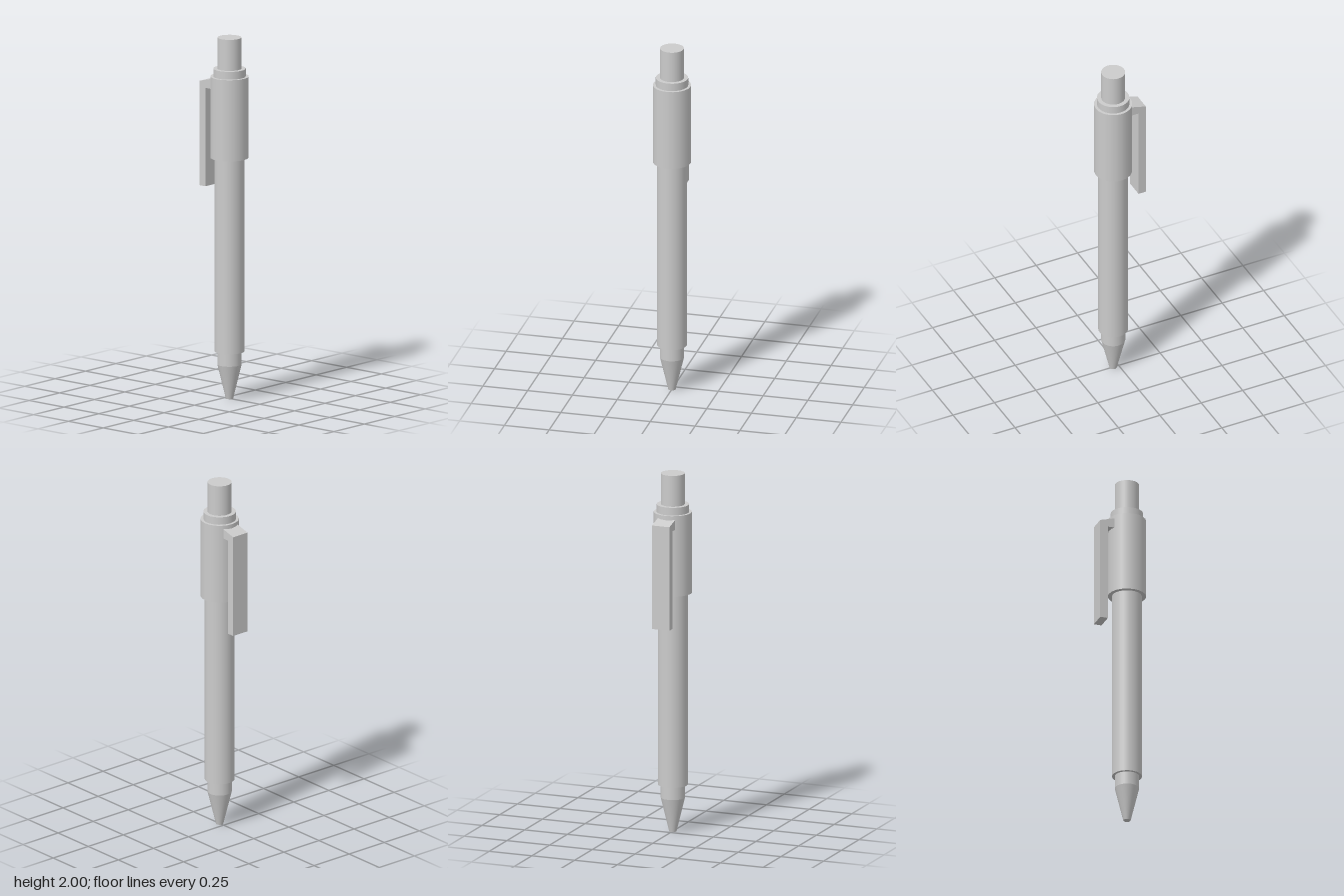
import * as THREE from 'three';

const AXIS_Z = 0.033; // the pen body sits forward of centre to balance the clip

export function createModel() {
  const group = new THREE.Group();
  const material = new THREE.MeshStandardMaterial({ color: 0xcccccc });

  // Coaxial round section between two heights
  const section = (name, y0, y1, r0, r1 = r0, sides = 32) => {
    const mesh = new THREE.Mesh(new THREE.CylinderGeometry(r1, r0, y1 - y0, sides), material);
    mesh.name = name;
    mesh.position.set(0, (y0 + y1) / 2, AXIS_Z);
    group.add(mesh);
  };

  section('tipCone', 0, 0.19, 0.02, 0.066);
  section('tipCollar', 0.19, 0.262, 0.066);
  section('barrel', 0.262, 1.335, 0.081);
  section('gripSleeve', 1.335, 1.785, 0.104, 0.104, 20);
  section('topRing', 1.785, 1.828, 0.088);
  section('pushButton', 1.828, 2, 0.065);

  // Clip: side profile (distance behind centre, height) extruded across the width
  const width = 0.102;
  const profile = new THREE.Shape([
    [0.055, 1.71], [0.095, 1.71], [0.095, 1.165], [0.139, 1.165],
    [0.139, 1.743], [0.055, 1.765],
  ].map(([d, y]) => new THREE.Vector2(d, y)));
  const clipGeometry = new THREE.ExtrudeGeometry(profile, { depth: width, bevelEnabled: false });
  clipGeometry.translate(0, 0, -width / 2).rotateY(Math.PI / 2);
  const clip = new THREE.Mesh(clipGeometry, material);
  clip.name = 'pocketClip';
  group.add(clip);

  return group;
}
